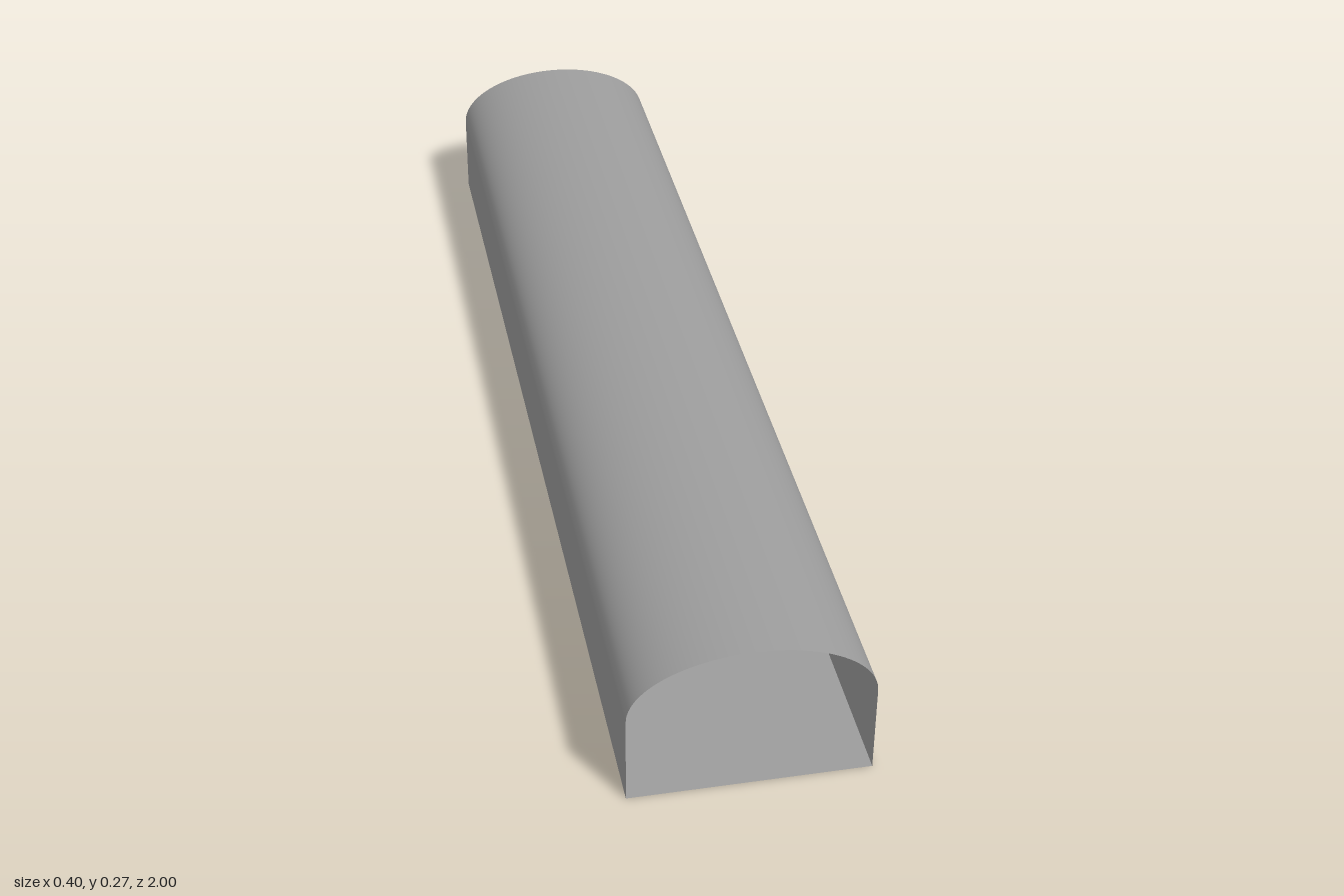
import * as THREE from 'three';

const W = 0.2;        // half width
const L = 2;          // length
const WALL = 0.16;    // wall height
const RISE = 0.11;    // vault rise above the walls
const DOOR_W = 0.03;  // half width of the doorway
const DOOR_H = 0.1;

const material = new THREE.MeshStandardMaterial({ color: 0x9d9d9d, side: THREE.DoubleSide });

function part(name, geometry) {
  const mesh = new THREE.Mesh(geometry, material);
  mesh.name = name;
  return mesh;
}

// Thin upright wall, with a doorway cut into its foot if wanted
function wallGeometry(hasDoor) {
  const s = new THREE.Shape();
  s.moveTo(-L / 2, 0);
  if (hasDoor) {
    s.lineTo(-DOOR_W, 0);
    s.lineTo(-DOOR_W, DOOR_H);
    s.lineTo(DOOR_W, DOOR_H);
    s.lineTo(DOOR_W, 0);
  }
  s.lineTo(L / 2, 0);
  s.lineTo(L / 2, WALL);
  s.lineTo(-L / 2, WALL);
  s.closePath();
  return new THREE.ShapeGeometry(s);
}

export function createModel() {
  const group = new THREE.Group();
  group.name = 'vaultedTunnel';

  // Floor
  group.add(part('floor', new THREE.PlaneGeometry(2 * W, L).rotateX(-Math.PI / 2)));

  // Side walls, facing outwards; the doorway is on the left one
  for (const side of [1, -1]) {
    const geo = wallGeometry(side > 0).rotateY(side * Math.PI / 2).translate(side * W, 0, 0);
    group.add(part(side > 0 ? 'leftWall' : 'rightWall', geo));
  }

  // Half-elliptical barrel roof, open at both ends
  const roof = new THREE.CylinderGeometry(1, 1, L, 48, 1, true, -Math.PI / 2, Math.PI);
  roof.rotateX(-Math.PI / 2).scale(W, RISE, 1).translate(0, WALL, 0);
  group.add(part('roof', roof));

  return group;
}
